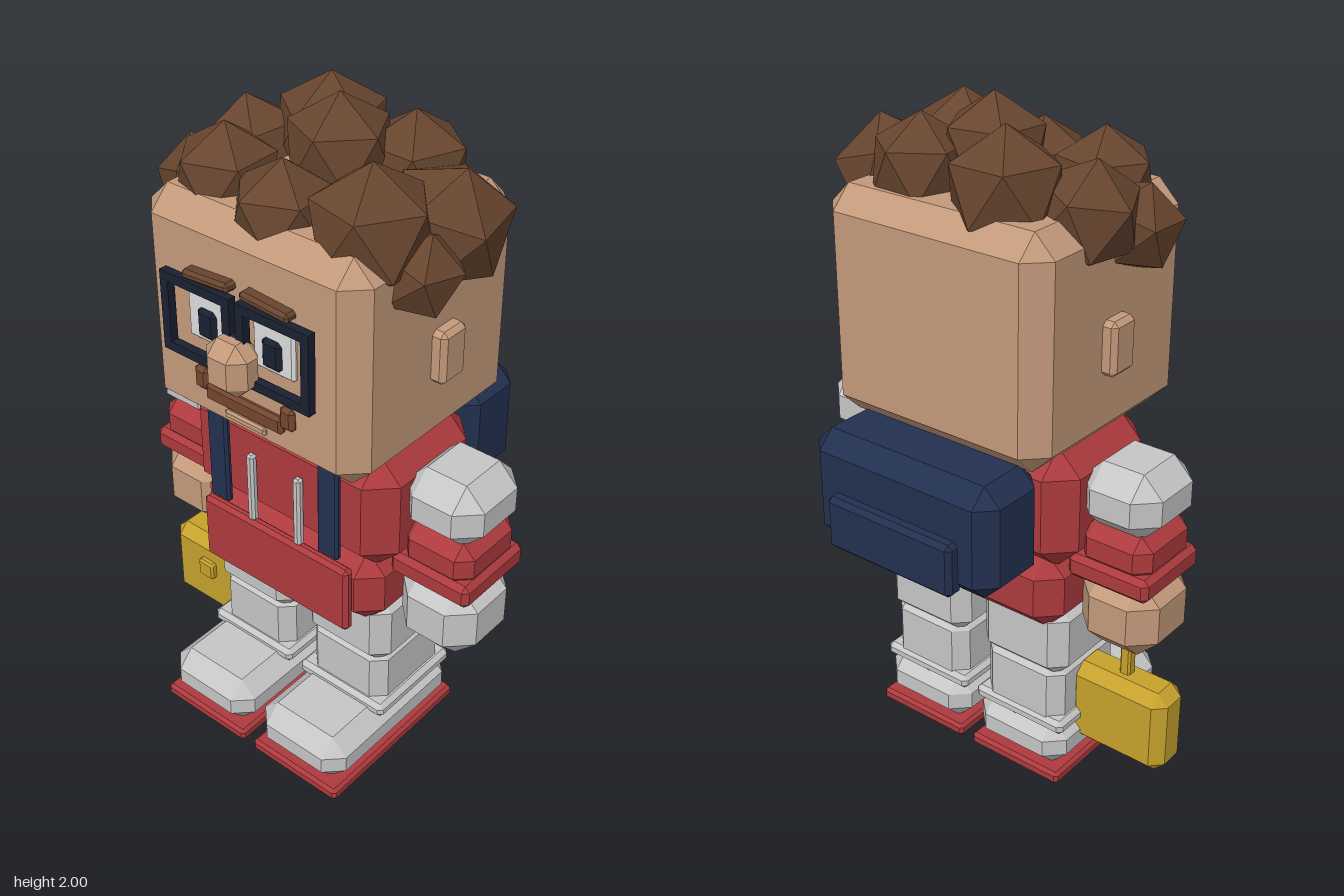
import * as THREE from 'three';
import { ConvexGeometry } from 'three/addons/geometries/ConvexGeometry.js';

const mat = (name, color) => {
  const m = new THREE.MeshStandardMaterial({ color, flatShading: true });
  m.name = name;
  return m;
};

// Box with every edge cut flat, hull of 24 points
function chamferBox(w, h, d, c) {
  const X = w / 2, Y = h / 2, Z = d / 2, pts = [];
  for (const a of [-1, 1]) for (const b of [-1, 1]) for (const e of [-1, 1]) {
    pts.push(new THREE.Vector3(a * X, b * (Y - c), e * (Z - c)));
    pts.push(new THREE.Vector3(a * (X - c), b * Y, e * (Z - c)));
    pts.push(new THREE.Vector3(a * (X - c), b * (Y - c), e * Z));
  }
  return new ConvexGeometry(pts);
}

export function createModel() {
  const skin = mat('skin', 0xc3997a);
  const red = mat('red cloth', 0xad3a3e);
  const grey = mat('light grey', 0xc6c6c6);
  const navy = mat('navy', 0x223050);
  const brown = mat('hair brown', 0x67452f);
  const gold = mat('gold', 0xc6a12c);
  const dark = mat('frame dark', 0x1a2031);
  const white = mat('eye white', 0xdcdcdc);
  const lip = mat('mouth brown', 0x74462f);

  const root = new THREE.Group();
  root.name = 'figure';
  const body = new THREE.Group();
  body.name = 'body';
  body.position.x = 0.007;
  root.add(body);

  const add = (name, geo, material) => {
    const m = new THREE.Mesh(geo, material);
    m.name = name;
    body.add(m);
    return m;
  };
  // Chamfered box given by its extents
  const block = (name, material, [x0, x1], [y0, y1], [z0, z1], c) => {
    const m = add(name, chamferBox(x1 - x0, y1 - y0, z1 - z0, c), material);
    m.position.set((x0 + x1) / 2, (y0 + y1) / 2, (z0 + z1) / 2);
    return m;
  };
  // The same on side s (+1 left, -1 right), x measured outward
  const sided = (s, name, material, [a, b], y, z, c) =>
    block((s > 0 ? 'left' : 'right') + name, material, s > 0 ? [a, b] : [-b, -a], y, z, c);

  // Head, nose, mouth
  block('head', skin, [-0.37, 0.37], [1.1, 1.76], [-0.3, 0.375], 0.063);
  block('nose', skin, [-0.07, 0.07], [1.31, 1.465], [0.36, 0.475], 0.038);
  block('moustache', lip, [-0.135, 0.135], [1.208, 1.262], [0.365, 0.392], 0.01);
  block('lowerLip', skin, [-0.072, 0.072], [1.175, 1.2], [0.365, 0.385], 0.006);

  // Square ring for one side of the glasses
  const rim = new THREE.Shape([[0, 0], [0.242, 0], [0.242, 0.235], [0, 0.235]]
    .map(p => new THREE.Vector2(...p)));
  rim.holes.push(new THREE.Path([[0.027, 0.027], [0.027, 0.208], [0.215, 0.208], [0.215, 0.027]]
    .map(p => new THREE.Vector2(...p))));
  const rimGeo = new THREE.ExtrudeGeometry(rim, { depth: 0.025, bevelEnabled: false });
  block('glassesBridge', dark, [-0.015, 0.015], [1.44, 1.47], [0.39, 0.41], 0.005);

  for (const s of [1, -1]) {
    // Face
    const side = s > 0 ? 'left' : 'right';
    add(side + 'GlassesRim', rimGeo, dark).position.set(s > 0 ? 0.01 : -0.252, 1.335, 0.388);
    sided(s, 'EyeWhite', white, [0.043, 0.182], [1.39, 1.53], [0.36, 0.388], 0.008);
    sided(s, 'Pupil', dark, [0.078, 0.144], [1.405, 1.492], [0.37, 0.4], 0.012);
    sided(s, 'Eyebrow', brown, [0.018, 0.18], [1.572, 1.6], [0.365, 0.41], 0.009).rotation.z = -s * -0.07 * -1;
    sided(s, 'MoustacheEnd', lip, [0.125, 0.175], [1.232, 1.302], [0.365, 0.392], 0.012);
    sided(s, 'Ear', skin, [0.35, 0.41], [1.315, 1.472], [-0.025, 0.075], 0.014);

    // Arms
    sided(s, 'Shoulder', grey, [0.335, 0.588], [0.88, 1.08], [-0.1, 0.172], 0.062);
    sided(s, 'Sleeve', red, [0.345, 0.575], [0.76, 0.9], [-0.09, 0.162], 0.04);
    sided(s, 'SleeveCuff', red, [0.325, 0.588], [0.718, 0.792], [-0.1, 0.172], 0.016);
    sided(s, 'Hand', s > 0 ? grey : skin, [0.333, 0.59], [0.493, 0.74], [-0.09, 0.178], 0.066);

    // Straps and hood cords
    sided(s, 'Strap', navy, [0.165, 0.239], [0.78, 1.1], [0.268, 0.292], 0.008);
    sided(s, 'Cord', grey, [0.073, 0.099], [0.755, 0.985], [0.262, 0.288], 0.007);

    // Legs and shoes
    sided(s, 'Thigh', grey, [0.028, 0.333], [0.355, 0.6], [-0.13, 0.205], 0.045);
    sided(s, 'Shin', grey, [0.04, 0.32], [0.16, 0.4], [-0.12, 0.192], 0.04);
    sided(s, 'AnkleBand', grey, [0.02, 0.34], [0.17, 0.216], [-0.13, 0.21], 0.014);
    sided(s, 'Shoe', grey, [0.022, 0.34], [0.035, 0.192], [-0.147, 0.42], 0.052);
    sided(s, 'Sole', red, [0.02, 0.344], [0.005, 0.045], [-0.15, 0.427], 0.01);
  }

  // Torso
  block('chest', red, [-0.37, 0.37], [0.74, 1.115], [-0.18, 0.26], 0.075);
  block('hips', red, [-0.335, 0.335], [0.535, 0.78], [-0.18, 0.26], 0.062);
  block('frontPocket', red, [-0.272, 0.272], [0.537, 0.757], [0.255, 0.292], 0.012);

  // Backpack
  block('backpack', navy, [-0.32, 0.32], [0.77, 1.11], [-0.44, -0.19], 0.052);
  block('backpackPocket', navy, [-0.22, 0.22], [0.785, 0.947], [-0.477, -0.42], 0.014);

  // Carried case
  block('caseBody', gold, [-0.617, -0.287], [0.09, 0.365], [-0.027, 0.112], 0.035);
  block('caseHandle', gold, [-0.47, -0.435], [0.35, 0.52], [0.025, 0.06], 0.006);
  block('caseClasp', gold, [-0.485, -0.422], [0.23, 0.292], [0.1, 0.132], 0.007);

  // Hair tufts: x, y, z, radius, yaw, outward tilt about z
  const tufts = [
    [-0.13, 1.805, -0.125, 0.165, 0.3, 0], [0.16, 1.8, -0.11, 0.15, 0.9, 0],
    [0.02, 1.848, 0.02, 0.152, 0.5, 0], [-0.3, 1.74, -0.01, 0.155, 1.1, 0.2],
    [0.335, 1.725, -0.02, 0.172, 0.2, -0.3], [0.255, 1.768, 0.18, 0.172, 0.7, 0],
    [0.01, 1.745, 0.225, 0.147, 0.1, 0], [-0.215, 1.765, 0.19, 0.148, 1.3, 0],
    [-0.355, 1.685, 0.13, 0.132, 0.6, 0.35], [0.365, 1.67, 0.14, 0.122, 1.0, -0.35],
  ];
  const tuftGeo = new THREE.IcosahedronGeometry(1, 0);
  tuftGeo.rotateZ(Math.atan(2 / (1 + Math.sqrt(5)))); // one point straight up
  tufts.forEach(([x, y, z, r, yaw, tilt], i) => {
    const m = add('hairTuft' + (i + 1), tuftGeo, brown);
    m.position.set(x, y, z);
    m.scale.setScalar(r);
    m.rotation.set(0, yaw, tilt, 'ZYX');
  });

  return root;
}
